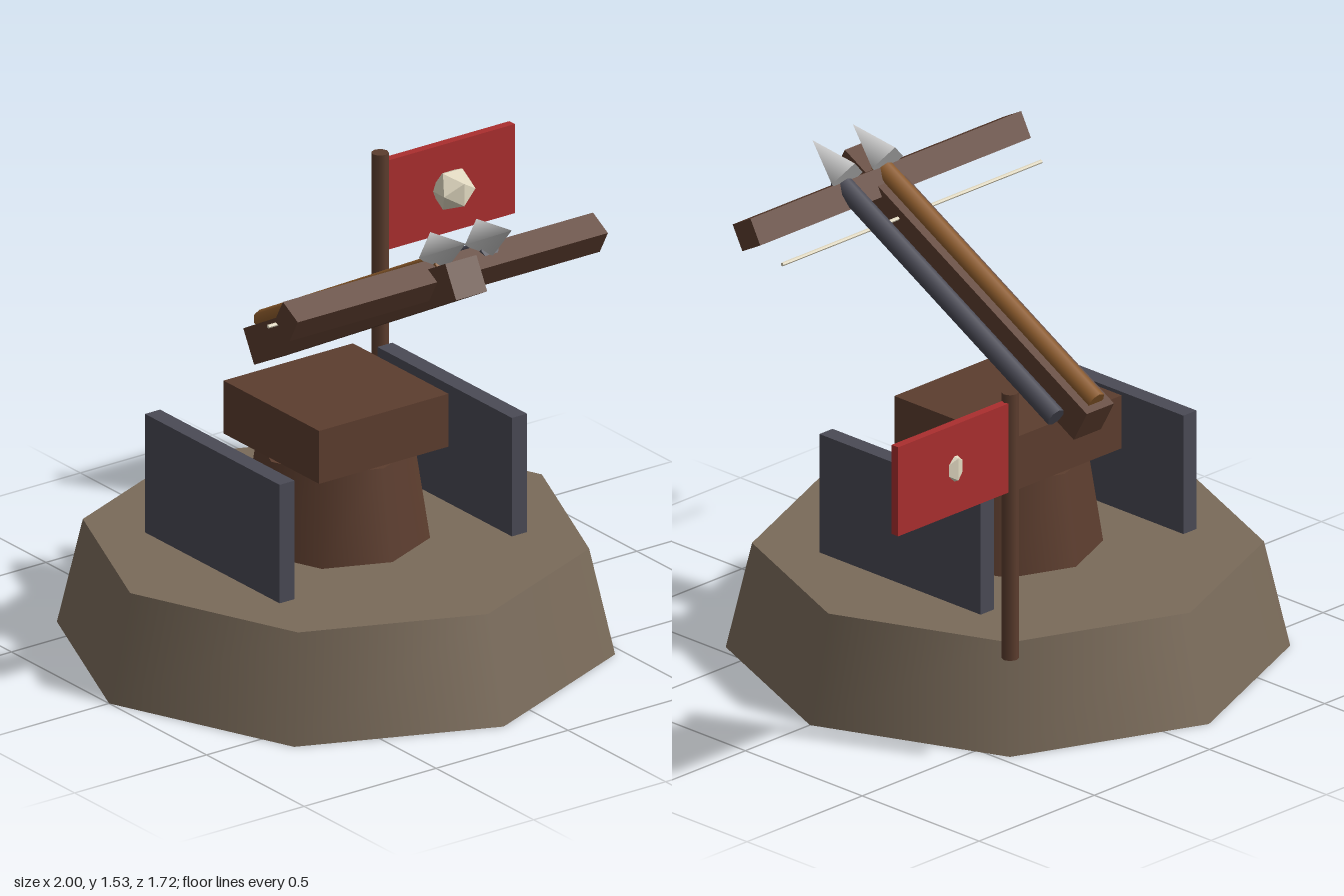
import * as THREE from 'three';

const mat = (name, color, extra = {}) => {
  const m = new THREE.MeshStandardMaterial({ color, ...extra });
  m.name = name;
  return m;
};

export function createModel() {
  const stone = mat('stone', 0x7a6b5a);
  const wood = mat('darkWood', 0x5c3d2e);
  const iron = mat('iron', 0x4a4a55);
  const shaftWood = mat('shaftWood', 0x8b5a2b);
  const steel = mat('steel', 0xc8c8c8);
  const cloth = mat('redCloth', 0xaa2e2e);
  const bone = mat('bone', 0xe0d8c0, { flatShading: true });

  const model = new THREE.Group();
  model.name = 'ballistaTower';
  const add = (parent, name, geometry, material, x, y, z) => {
    const mesh = new THREE.Mesh(geometry, material);
    mesh.name = name;
    mesh.position.set(x, y, z);
    parent.add(mesh);
    return mesh;
  };
  const box = (w, h, d) => new THREE.BoxGeometry(w, h, d);
  const cyl = (top, bottom, h, sides) => new THREE.CylinderGeometry(top, bottom, h, sides);
  const cx = -0.14; // axis of the tower

  // Octagonal base, pedestal and turntable
  add(model, 'base', cyl(0.78, 0.86, 0.345, 8), stone, cx, 0.1725, 0);
  add(model, 'pedestal', cyl(0.245, 0.29, 0.295, 8), wood, cx, 0.4975, 0);
  add(model, 'turntable', box(0.49, 0.175, 0.49), wood, cx, 0.7425, 0);

  // Side shields
  for (const side of [-1, 1]) {
    add(model, side < 0 ? 'rightShield' : 'leftShield', box(0.057, 0.392, 0.69), iron, cx + side * 0.44, 0.546, 0);
  }

  // Tilted launcher with two bolts
  const launcher = new THREE.Group();
  launcher.name = 'launcher';
  launcher.position.set(cx, 1.137, 0.15);
  launcher.rotation.x = -0.5;
  model.add(launcher);
  add(launcher, 'beam', box(0.118, 0.116, 1.18), wood, 0, 0, 0);
  [[0, shaftWood], [0.175, iron]].forEach(([x, material]) => {
    const shaft = cyl(0.032, 0.032, 1.06, 8).rotateX(Math.PI / 2);
    add(launcher, 'boltShaft', shaft, material, x, 0.066, -0.035);
    const head = new THREE.ConeGeometry(0.067, 0.17, 4).rotateX(Math.PI / 2);
    add(launcher, 'boltHead', head, steel, x, 0.099, 0.555);
  });

  // Bow arm and string
  add(model, 'bowArm', box(1.175, 0.087, 0.087), wood, cx, 1.379, 0.54).rotation.x = 0.5;
  add(model, 'bowString', cyl(0.006, 0.006, 1.125, 6).rotateZ(Math.PI / 2), bone, cx, 1.312, 0.412);

  // Flag on its pole, with a faceted boss
  add(model, 'flagPole', cyl(0.027, 0.027, 0.88, 8), wood, 0.5, 0.788, -0.64);
  add(model, 'flag', box(0.49, 0.295, 0.028), cloth, 0.755, 1.053, -0.64);
  add(model, 'flagBoss', new THREE.IcosahedronGeometry(0.07, 0), bone, 0.75, 1.055, -0.606);

  return model;
}
